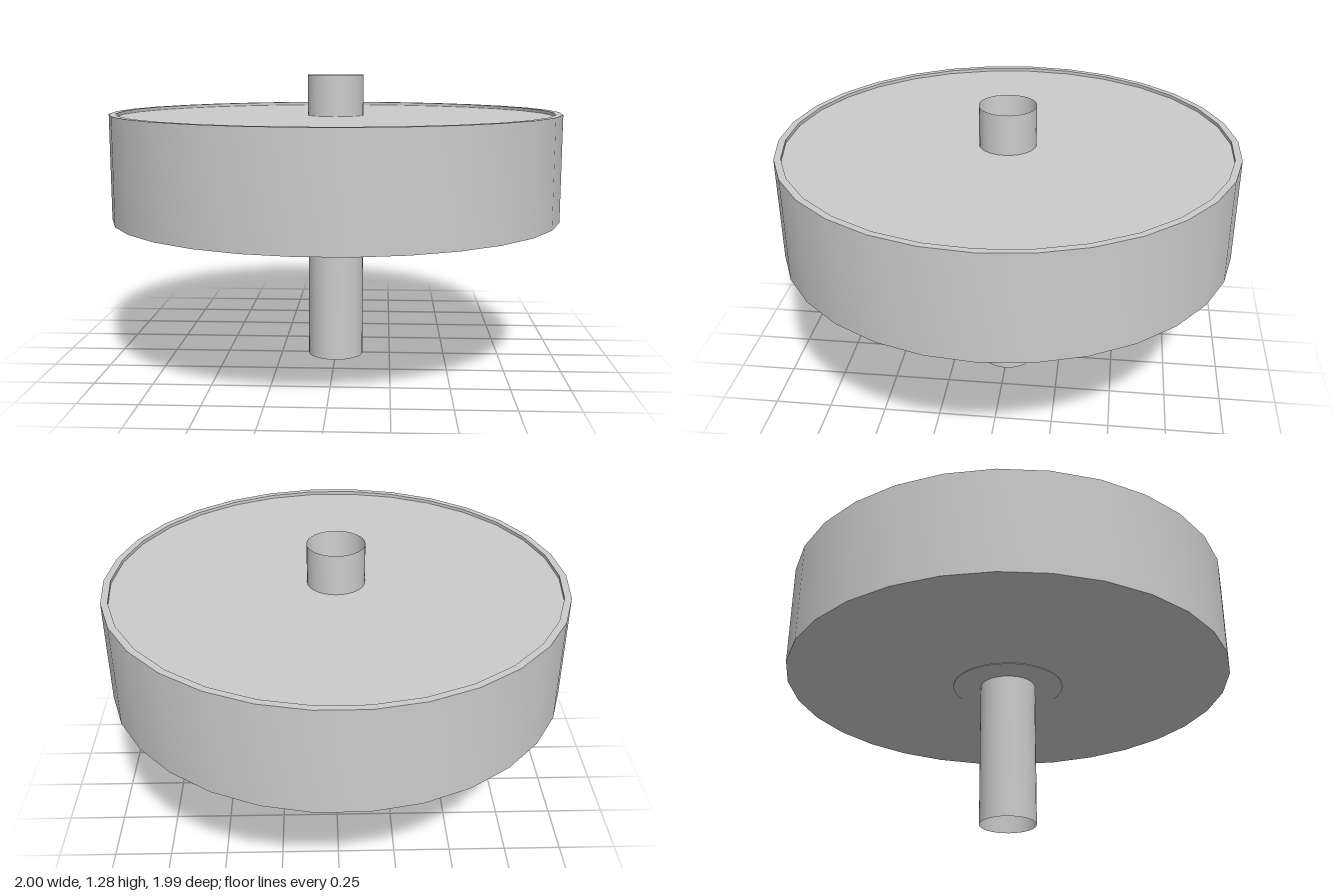
import * as THREE from 'three';
import { toCreasedNormals } from 'three/addons/utils/BufferGeometryUtils.js';

const grey = new THREE.MeshStandardMaterial({ color: 0xcccccc, side: THREE.DoubleSide });

// Turned part: [radius, height] profile, rounded walls smooth and rims sharp
function turned(name, profile, sides) {
  const points = profile.map(([r, y]) => new THREE.Vector2(r, y));
  const lathe = new THREE.LatheGeometry(points, sides, Math.PI / 2);
  const mesh = new THREE.Mesh(toCreasedNormals(lathe, Math.PI / 6), grey);
  mesh.name = name;
  return mesh;
}

export function createModel() {
  const group = new THREE.Group();
  group.name = 'wheelOnShaft';

  // Wide drum with a shallow recess inside its raised top rim
  group.add(turned('drum', [
    [0, 0.655], [1, 0.655], [1, 1.12], [0.97, 1.12], [0.97, 1.105], [0, 1.105],
  ], 30));

  // Thin washer under the drum, around the shaft
  group.add(turned('washer', [[0.12, 0.652], [0.25, 0.652], [0.25, 0.66]], 32));

  // Hollow shaft, open at both ends, its bore tapering to a closed middle
  group.add(turned('shaft', [[0.125, 0], [0.125, 1.285]], 32));
  group.add(turned('upperBore', [[0.125, 1.285], [0.093, 0.7], [0, 0.7]], 32));
  group.add(turned('lowerBore', [[0, 0.6], [0.093, 0.6], [0.125, 0]], 32));

  return group;
}
